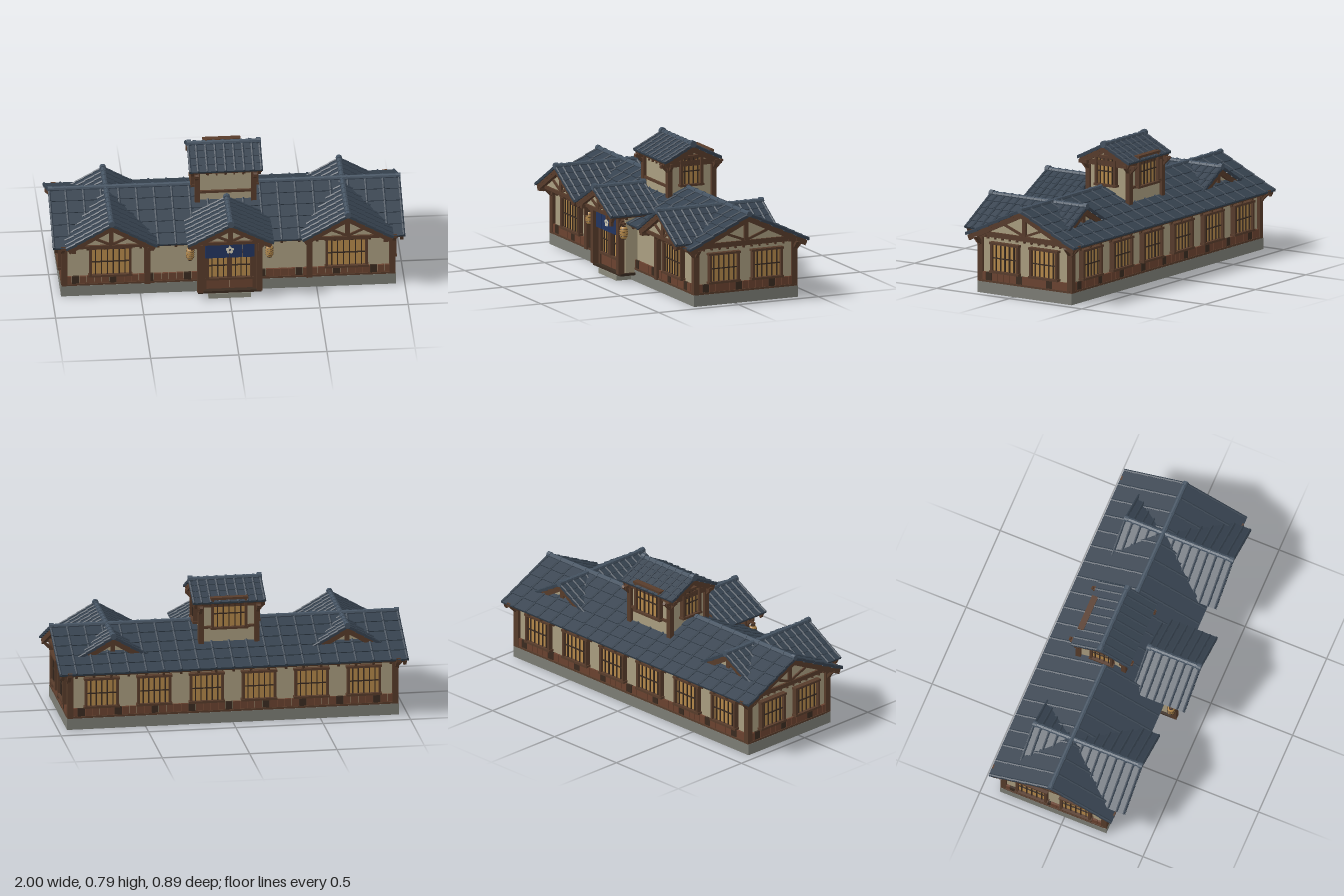
import * as THREE from 'three';
import { mergeGeometries } from 'three/addons/utils/BufferGeometryUtils.js';

const C = {
  tile: 0x36424f, ridge: 0x465463, wood: 0x583c2b, dark: 0x3a2b20, board: 0x6b4330,
  plaster: 0xaa9e80, glow: 0xb5894a, stone: 0x7d7e76, stone2: 0x8b8a7c, cloth: 0x223460, pale: 0xd8d2bc,
};
const PI = Math.PI;

// Turns, then places a geometry
function put(g, x = 0, y = 0, z = 0, rx = 0, ry = 0, rz = 0) {
  if (g.index) g = g.toNonIndexed();
  const m = new THREE.Matrix4().makeRotationFromEuler(new THREE.Euler(rx, ry, rz));
  return g.applyMatrix4(m.setPosition(x, y, z));
}
const box = (w, h, d, x, y, z, rx, ry, rz) => put(new THREE.BoxGeometry(w, h, d), x, y, z, rx, ry, rz);
// Bar between two points of an x-y plane
const bar = (x1, y1, x2, y2, t, d, z) =>
  box(Math.hypot(x2 - x1, y2 - y1), t, d, (x1 + x2) / 2, (y1 + y2) / 2, z, 0, 0, Math.atan2(y2 - y1, x2 - x1));
function add(parent, name, color, geos) {
  const mesh = new THREE.Mesh(mergeGeometries(geos), new THREE.MeshStandardMaterial({ color, flatShading: true }));
  mesh.name = name;
  parent.add(mesh);
  return mesh;
}
function sub(parent, name, x = 0, y = 0, z = 0, ry = 0) {
  const g = new THREE.Group();
  g.name = name;
  g.position.set(x, y, z);
  g.rotation.y = ry;
  parent.add(g);
  return g;
}

// Gabled tile roof with its ridge along local x
function gableRoof(parent, name, o) {
  const g = sub(parent, name, o.x, o.y, o.z, o.ry);
  const a = Math.atan2(o.drop, o.half), L = Math.hypot(o.drop, o.half);
  const tiles = [], wood = [], ridge = [];
  const step = L / o.rows, w = o.len / o.cols, tilt = a - 0.07;
  // Position on the slope: s down from the ridge, n out along the normal
  const at = (s, n) => [s * Math.cos(a) + n * Math.sin(a), -s * Math.sin(a) + n * Math.cos(a)];
  for (const ry of [0, PI]) {
    const side = geo => geo.rotateY(ry);
    for (let r = 0; r < o.rows; r++) {
      const [z, y] = at((r + 0.5) * step, 0);
      for (let c = 0; c <= o.cols; c++) {
        const x = -o.len / 2 + c * w;
        if (c < o.cols) tiles.push(side(box(w * 0.99, 0.012, step * 1.08, x + w / 2, y, z, tilt)));
        const edge = Math.max(-o.len / 2 + 0.008, Math.min(o.len / 2 - 0.008, x));
        tiles.push(side(put(new THREE.CylinderGeometry(0.007, 0.009, step * 1.04, 6), edge, y + 0.005, z + 0.002, PI / 2 + tilt)));
      }
    }
    // Deck, bargeboards and rafter tails
    const [dz, dy] = at(L / 2, -0.012);
    wood.push(side(box(o.len - 0.02, 0.012, L - 0.01, 0, dy, dz, a)));
    const [bz, by] = at(L / 2, -0.022);
    for (const s of [-1, 1]) wood.push(side(box(0.018, 0.03, L, s * (o.len / 2 - 0.02), by, bz, a)));
    const n = Math.round(o.len / 0.1), [tz, ty] = at(L - 0.05, -0.024);
    for (let i = 1; i < n; i++) wood.push(side(box(0.014, 0.016, 0.09, -o.len / 2 + i * o.len / n, ty, tz, a)));
  }
  // Ridge caps, collars and end knobs
  for (let c = 0; c < o.cols; c++) {
    const x = -o.len / 2 + (c + 0.5) * w;
    ridge.push(put(new THREE.CylinderGeometry(0.014, 0.014, w, 8), x, 0.006, 0, 0, 0, PI / 2));
    ridge.push(put(new THREE.CylinderGeometry(0.017, 0.017, 0.012, 8), x + w / 2 - 0.006, 0.006, 0, 0, 0, PI / 2));
  }
  for (const s of [-1, 1])
    ridge.push(put(new THREE.CylinderGeometry(o.knob, o.knob, 0.025, 10), s * (o.len / 2 - 0.0125), 0.008, 0, 0, 0, PI / 2));
  add(g, 'roofTiles', C.tile, tiles);
  add(g, 'roofTimber', C.wood, wood);
  add(g, 'ridgeCaps', C.ridge, ridge);
}

// Plaster gable with king post and struts, facing local +z
function truss(parent, name, half, h, x, y, z, ry = 0) {
  const g = sub(parent, name, x, y, z, ry);
  const tri = new THREE.Shape([new THREE.Vector2(-half, 0), new THREE.Vector2(half, 0), new THREE.Vector2(0, h)]);
  add(g, 'gablePlaster', C.plaster, [put(new THREE.ExtrudeGeometry(tri, { depth: 0.012, bevelEnabled: false }), 0, 0, -0.012)]);
  const beams = [box(half * 2 + 0.03, 0.018, 0.025, 0, 0.004, 0), box(0.026, h, 0.022, 0, h / 2, 0)];
  for (const s of [-1, 1]) {
    beams.push(bar(0, 0.012, s * half * 0.5, h * 0.5, 0.014, 0.018, 0));
    beams.push(bar(s * half, 0.004, 0, h, 0.018, 0.02, 0));
  }
  add(g, 'gableTimber', C.wood, beams);
}

// Lattice window, facing local +z, standing on its sill
function latticeWindow(parent, w, h, x, y, z, ry = 0, bars = 6) {
  const g = sub(parent, 'latticeWindow', x, y, z, ry);
  add(g, 'paperPane', C.glow, [box(w, h, 0.01, 0, h / 2, 0.005)]);
  const f = [0, h].map(v => box(w + 0.015, 0.013, 0.035, 0, v, 0.013));
  for (const s of [-1, 1]) f.push(box(0.014, h, 0.03, s * (w / 2 - 0.005), h / 2, 0.013));
  add(g, 'windowFrame', C.wood, f);
  const b = [box(w, 0.006, 0.008, 0, h * 0.48, 0.013)];
  for (let i = 1; i < bars; i++) b.push(box(0.006, h, 0.008, -w / 2 + i * w / bars, h / 2, 0.013));
  add(g, 'windowBars', C.dark, b);
}

// Dressing of a long wall: plinth blocks, skirting boards, sill, plate and pegs
function wallTrim(parent, name, len, x, z, ry) {
  const g = sub(parent, name, x, 0, z, ry);
  const lists = { board: [], dark: [], stone: [], stone2: [] };
  const n = Math.round(len / 0.042), m = Math.round(len / 0.09);
  for (let i = 0; i < n; i++)
    lists[i * 7 % 5 === 2 ? 'dark' : 'board'].push(box(len / n - 0.003, 0.052, 0.012, -len / 2 + (i + 0.5) * len / n, 0.096, 0.004));
  for (let i = 0; i < m; i++)
    lists[i * 5 % 3 ? 'stone' : 'stone2'].push(box(len / m - 0.004, 0.042, 0.012, -len / 2 + (i + 0.5) * len / m, 0.042, 0.007));
  for (const k in lists) add(g, k.startsWith('stone') ? 'plinthBlocks' : 'skirtingBoards', C[k], lists[k]);
  const wood = [box(len, 0.012, 0.02, 0, 0.07, 0.004), box(len, 0.022, 0.022, 0, 0.337, 0)];
  for (let i = 1; i < len / 0.05 - 1; i++) wood.push(box(0.01, 0.01, 0.016, -len / 2 + i * 0.05, 0.32, 0.002));
  add(g, 'wallTimber', C.wood, wood);
}

export function createModel() {
  const model = new THREE.Group();
  model.name = 'teaHouse';
  const zc = -0.07, half = 0.315;

  // Hall body
  const hall = sub(model, 'hall');
  add(hall, 'plinth', C.stone, [box(1.9, 0.065, 0.65, 0, 0.0325, zc)]);
  add(hall, 'walls', C.plaster, [box(1.86, 0.285, 0.61, 0, 0.2025, zc)]);
  wallTrim(hall, 'frontTrim', 1.86, 0, 0.24, 0);
  wallTrim(hall, 'backTrim', 1.86, 0, -0.38, PI);
  wallTrim(hall, 'leftTrim', 0.62, 0.935, zc, PI / 2);
  wallTrim(hall, 'rightTrim', 0.62, -0.935, zc, -PI / 2);
  const posts = [];
  for (const s of [-1, 1]) {
    for (const e of [-1, 1]) {
      const z = zc + e * 0.308;
      posts.push(box(0.034, 0.28, 0.034, s * 0.93, 0.205, z));
      // Knee braces and eave beam ends
      posts.push(box(0.02, 0.016, 0.08, s * 0.94, 0.305, z + e * 0.03, -e * 0.8));
      posts.push(box(0.08, 0.016, 0.02, s * 0.96, 0.305, z, 0, 0, s * 0.8));
      posts.push(box(0.026, 0.022, 0.11, s * 0.94, 0.335, z + e * 0.012));
      posts.push(box(0.1, 0.02, 0.024, s * 0.94, 0.34, z));
    }
    posts.push(box(0.034, 0.28, 0.034, s * 0.46, 0.205, 0.248));
    for (const [px, d] of [[0.46, -1], [0.46, 1], [0.93, -1]])
      posts.push(bar(s * px, 0.285, s * (px + d * 0.045), 0.33, 0.014, 0.018, 0.25));
  }
  add(hall, 'posts', C.wood, posts);
  for (const s of [-1, 1]) {
    latticeWindow(hall, 0.235, 0.18, s * 0.67, 0.128, 0.236, 0, 7);
    for (const z of [0.067, -0.203]) latticeWindow(hall, 0.185, 0.165, s * 0.932, 0.13, z, s * PI / 2);
    for (const x of [0.15, 0.45, 0.75]) latticeWindow(hall, 0.19, 0.165, s * x, 0.13, -0.377, PI);
    truss(hall, 'sideGable', half, 0.145, s * 0.945, 0.345, zc, s * PI / 2);
  }
  gableRoof(model, 'hallRoof', { x: 0, y: 0.51, z: zc, ry: 0, len: 2, half: 0.37, drop: 0.175, rows: 5, cols: 20, knob: 0.016 });

  // Cross gables over the two wings
  for (const s of [-1, 1]) {
    const wing = sub(model, 'wingGable', s * 0.67);
    gableRoof(wing, 'wingRoof', { x: 0, y: 0.505, z: 0.025, ry: PI / 2, len: 0.67, half: 0.255, drop: 0.148, rows: 5, cols: 13, knob: 0.018 });
    truss(wing, 'frontGable', 0.235, 0.135, 0, 0.345, 0.31);
    truss(wing, 'backGable', 0.235, 0.135, 0, 0.345, -0.275, PI);
    add(wing, 'eaveBeams', C.wood, [-1, 1].map(e => box(0.024, 0.022, 0.12, e * 0.215, 0.338, 0.29)));
  }

  // Porch
  const porch = sub(model, 'porch');
  add(porch, 'porchWalls', C.plaster, [box(0.33, 0.35, 0.08, 0, 0.215, 0.27)]);
  add(porch, 'step', C.stone2, [box(0.24, 0.03, 0.09, 0, 0.015, 0.3)]);
  add(porch, 'sill', C.dark, [box(0.36, 0.014, 0.1, 0, 0.043, 0.3)]);
  const frame = [box(0.42, 0.022, 0.03, 0, 0.378, 0.36), box(0.3, 0.018, 0.03, 0, 0.36, 0.33)];
  for (const s of [-1, 1]) {
    frame.push(box(0.034, 0.34, 0.034, s * 0.168, 0.22, 0.347), box(0.02, 0.34, 0.02, s * 0.14, 0.22, 0.32));
    frame.push(box(0.026, 0.022, 0.19, s * 0.168, 0.383, 0.335), box(0.022, 0.05, 0.018, s * 0.168, 0.355, 0.4));
    frame.push(bar(s * 0.175, 0.325, s * 0.215, 0.37, 0.014, 0.018, 0.35));
    frame.push(box(0.07, 0.01, 0.012, s * 0.205, 0.352, 0.35));
  }
  add(porch, 'porchFrame', C.wood, frame);
  truss(porch, 'porchGable', 0.2, 0.115, 0, 0.385, 0.395);
  gableRoof(porch, 'porchRoof', { x: 0, y: 0.52, z: 0.275, ry: PI / 2, len: 0.33, half: 0.24, drop: 0.125, rows: 5, cols: 7, knob: 0.02 });

  // Sliding doors with kick panels
  add(porch, 'doorPanels', C.board, [-1, 1].map(s => box(0.128, 0.065, 0.014, s * 0.066, 0.083, 0.314)));
  for (const s of [-1, 1]) latticeWindow(porch, 0.128, 0.17, s * 0.066, 0.118, 0.305, 0, 4);

  // Split door curtain with a blossom
  add(porch, 'curtain', C.cloth, [-1.5, -0.5, 0.5, 1.5].map(i => box(0.068, 0.095, 0.006, i * 0.07, 0.312, 0.347)));
  const petals = [];
  for (let i = 0; i < 5; i++) {
    const t = PI / 2 + i * PI * 0.4;
    petals.push(put(new THREE.CylinderGeometry(0.009, 0.009, 0.004, 10), Math.cos(t) * 0.015, 0.314 + Math.sin(t) * 0.015, 0.351, PI / 2));
  }
  add(porch, 'curtainBlossom', C.pale, petals);

  // Paper lanterns
  const profile = [[0.001, -0.035], [0.014, -0.035], [0.02, -0.027], [0.023, -0.012], [0.023, 0.012], [0.02, 0.027], [0.014, 0.035], [0.001, 0.035]]
    .map(p => new THREE.Vector2(...p));
  for (const s of [-1, 1]) {
    const l = sub(porch, 'lantern', s * 0.225, 0.3, 0.35);
    add(l, 'lanternPaper', C.glow, [put(new THREE.LatheGeometry(profile, 12))]);
    const hoops = [-0.02, -0.007, 0.007, 0.02].map(y => put(new THREE.TorusGeometry(0.0225, 0.0015, 4, 12), 0, y, 0, PI / 2));
    for (const y of [-0.036, 0.036]) hoops.push(put(new THREE.CylinderGeometry(0.014, 0.014, 0.006, 10), 0, y));
    hoops.push(box(0.004, 0.025, 0.004, 0, 0.045, 0));
    add(l, 'lanternHoops', C.dark, hoops);
  }

  // Roof lantern tower
  const tower = sub(model, 'tower', 0, 0, -0.095);
  add(tower, 'towerWalls', C.plaster, [box(0.32, 0.26, 0.27, 0, 0.53, -0.008)]);
  const tw = [];
  for (const e of [-1, 1]) {
    const z = e * 0.138 - 0.008;
    tw.push(box(0.41, 0.02, 0.026, 0, 0.652, z), box(0.34, 0.014, 0.02, 0, 0.522, z));
    for (const s of [-1, 1]) {
      tw.push(box(0.03, 0.25, 0.03, s * 0.16, 0.535, z));
      tw.push(box(0.018, 0.014, 0.07, s * 0.165, 0.63, z + e * 0.03, -e * 0.8));
      tw.push(bar(s * 0.165, 0.61, s * 0.2, 0.648, 0.014, 0.018, z));
    }
  }
  for (const s of [-1, 1]) tw.push(box(0.026, 0.018, 0.38, s * 0.167, 0.645, -0.003));
  for (let i = -2; i <= 2; i++) tw.push(box(0.01, 0.01, 0.014, i * 0.05, 0.632, 0.13));
  add(tower, 'towerTimber', C.wood, tw);
  for (const s of [-1, 1]) {
    truss(tower, 'towerGable', 0.155, 0.085, s * 0.168, 0.655, 0, s * PI / 2);
    latticeWindow(tower, 0.135, 0.165, s * 0.163, 0.527, 0, s * PI / 2, 5);
  }
  latticeWindow(tower, 0.2, 0.175, 0, 0.52, -0.147, PI, 6);
  gableRoof(tower, 'towerRoof', { x: 0, y: 0.758, z: 0, ry: 0, len: 0.42, half: 0.175, drop: 0.088, rows: 4, cols: 8, knob: 0.02 });
  return model;
}
